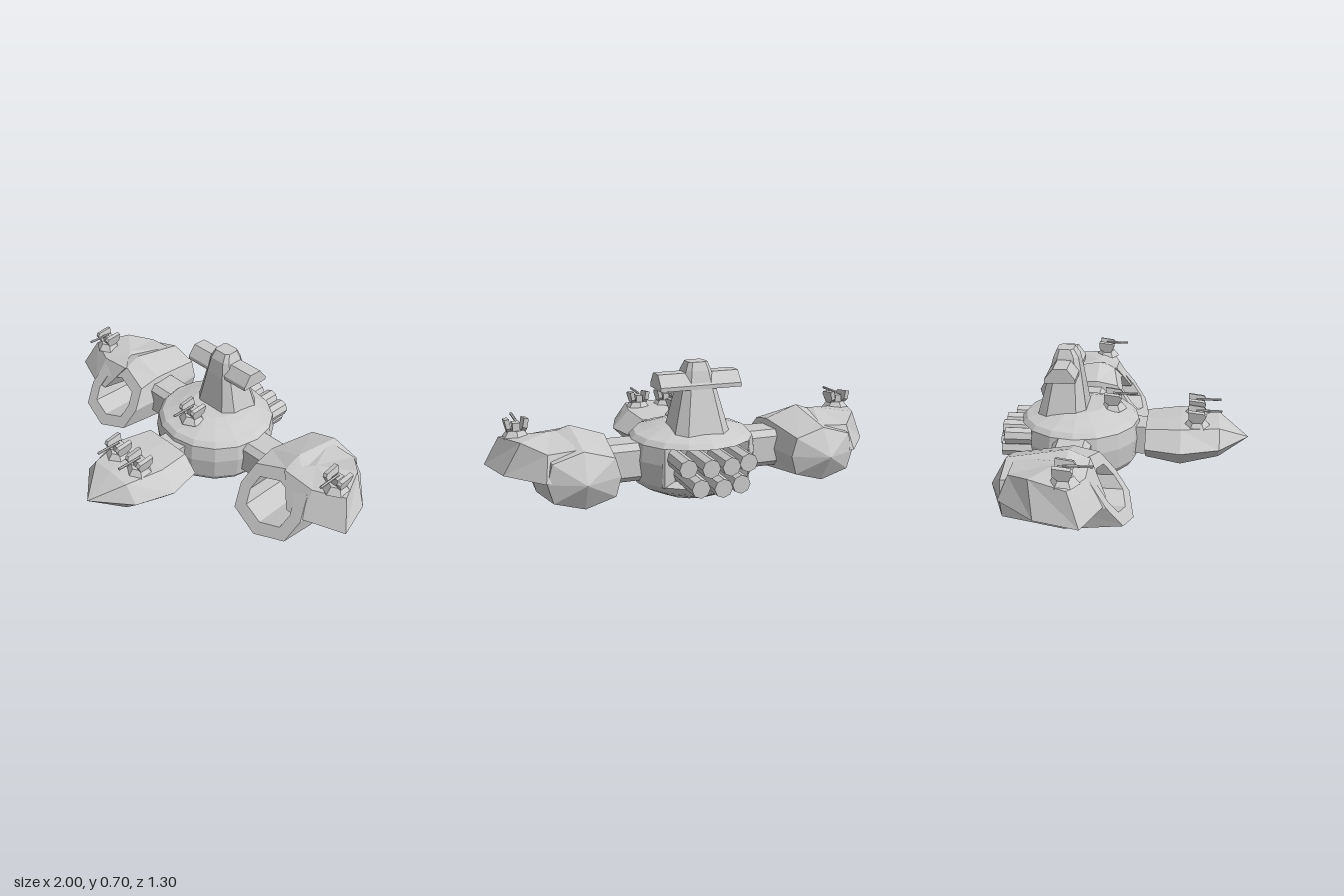
import * as THREE from 'three';

const mat = new THREE.MeshStandardMaterial({ color: 0xcccccc, flatShading: true });
const V = (x, y, z) => new THREE.Vector3(x, y, z);

function add(parent, name, geometry, x = 0, y = 0, z = 0) {
  const mesh = new THREE.Mesh(geometry, mat);
  mesh.name = name;
  mesh.position.set(x, y, z);
  parent.add(mesh);
  return mesh;
}

// Closed skin through rings of equal length; ends fan to a cap point; always faces outward
function loft(rings, startCap, endCap) {
  const mid = (r) => r.reduce((a, p) => a.add(p), V(0, 0, 0)).divideScalar(r.length);
  const n = rings[0].length;
  const last = rings[rings.length - 1];
  const a = startCap || mid(rings[0]), b = endCap || mid(last);
  const tris = [];
  for (let i = 0; i < n; i++) {
    const j = (i + 1) % n;
    tris.push([a, rings[0][j], rings[0][i]], [b, last[i], last[j]]);
    for (let k = 0; k < rings.length - 1; k++) {
      const r = rings[k], s = rings[k + 1];
      tris.push([r[i], r[j], s[j]], [r[i], s[j], s[i]]);
    }
  }
  const volume = tris.reduce((v, [p, q, r]) => v + p.dot(q.clone().cross(r)), 0);
  if (volume < 0) tris.forEach((t) => t.reverse());
  const g = new THREE.BufferGeometry().setFromPoints(tris.flat());
  g.computeVertexNormals();
  return g;
}

// Rectangle with cut corners, as [u, v] pairs
function cutRect(u0, u1, v0, v1, c) {
  return [[u0 + c, v0], [u1 - c, v0], [u1, v0 + c], [u1, v1 - c],
    [u1 - c, v1], [u0 + c, v1], [u0, v1 - c], [u0, v0 + c]];
}

function lathe(points, segments, start = 0, length = Math.PI * 2) {
  return new THREE.LatheGeometry(points.map((p) => new THREE.Vector2(...p)), segments, start, length);
}

// Profile given as [z, y], extruded along x and centred
function sideExtrude(profile, width) {
  const shape = new THREE.Shape(profile.map(([z, y]) => new THREE.Vector2(-z, y)));
  const g = new THREE.ExtrudeGeometry(shape, { depth: width, bevelEnabled: false });
  return g.translate(0, 0, -width / 2).rotateY(Math.PI / 2);
}

function turret(parent, x, y, z) {
  const t = new THREE.Group();
  t.name = 'turret';
  t.position.set(x, y, z);
  add(t, 'turretBase', new THREE.CylinderGeometry(0.042, 0.07, 0.035, 6), 0, 0.015, 0);
  add(t, 'turretMount', new THREE.BoxGeometry(0.035, 0.04, 0.05), 0, 0.05, -0.005);
  const cheek = [[-0.045, 0.05], [-0.02, 0.03], [0.025, 0.03], [0.045, 0.07], [0.035, 0.085], [-0.045, 0.095]];
  for (const s of [-1, 1]) {
    add(t, 'turretCheek', sideExtrude(cheek, 0.022), s * 0.027, 0, 0).rotation.z = -s * 0.2;
  }
  const gun = new THREE.CylinderGeometry(0.007, 0.007, 0.13, 6).rotateX(Math.PI / 2);
  add(t, 'gunBarrel', gun, 0, 0.08, 0.06);
  parent.add(t);
}

// Side pod with a hollow slanted intake and an overhanging wing; s is the side
function nacelle(parent, s) {
  const g = new THREE.Group();
  g.name = s > 0 ? 'leftNacelle' : 'rightNacelle';
  const oct = [[0, 1], [0.85, 0.68], [1, 0], [0.85, -0.68], [0, -1], [-0.85, -0.68], [-1, 0], [-0.85, 0.68]];
  const ring = (hw, hh, z) => oct.map(([u, v]) => {
    const y = 0.225 + v * hh;
    return V(s * (0.605 + u * hw), y, typeof z === 'function' ? z(y) : z);
  });
  const slant = (y) => 0.15 - 0.7 * y;
  add(g, 'nacelleBody', loft([
    ring(0.17, 0.135, -0.49), ring(0.2, 0.187, -0.2), ring(0.195, 0.15, slant),
    ring(0.13, 0.095, slant), ring(0.125, 0.09, -0.24),
  ], V(s * 0.61, 0.225, -0.565), V(s * 0.605, 0.225, -0.28)));

  const low = [[0.7, -0.02], [0.79, -0.02], [1, -0.1], [0.94, -0.31], [0.78, -0.5], [0.61, -0.49]];
  const high = [[0.605, 0.375, -0.1], [0.78, 0.36, -0.1], [0.935, 0.375, -0.16],
    [0.86, 0.385, -0.34], [0.76, 0.35, -0.45], [0.605, 0.36, -0.45]];
  add(g, 'nacelleWing', loft([
    low.map(([x, z]) => V(s * x, 0.23, z)),
    high.map(([x, y, z]) => V(s * x, y, z)),
  ], null, V(s * 0.7, 0.395, -0.22)));
  turret(g, s * 0.855, 0.375, -0.18);

  const section = cutRect(0.13, 0.32, -0.33, -0.14, 0.03);
  add(g, 'strut', loft([0.25, 0.46].map((x) => section.map(([y, z]) => V(s * x, y, z)))));
  parent.add(g);
}

export function createModel() {
  const model = new THREE.Group();
  model.name = 'spaceship';

  // Central hull: belly, shoulder and a band left open at the back
  const hull = new THREE.Group();
  hull.name = 'hull';
  hull.position.z = -0.23;
  model.add(hull);
  add(hull, 'belly', lathe([[0, 0], [0.16, 0.035], [0.245, 0.075], [0.28, 0.095], [0.305, 0.13], [0, 0.13]], 16));
  add(hull, 'shoulder', lathe([[0, 0.32], [0.308, 0.32], [0.285, 0.345], [0.25, 0.355], [0.19, 0.375], [0.13, 0.39], [0, 0.39]], 16));
  add(hull, 'hullBand', lathe([[0.305, 0.13], [0.318, 0.24], [0.308, 0.32]], 12, Math.PI * 1.25, Math.PI * 1.5));
  add(hull, 'engineRecess', lathe([[0.2, 0.13], [0.2, 0.32]], 16));
  for (const s of [-1, 1]) {
    const wall = add(hull, 'recessWall', new THREE.BoxGeometry(0.015, 0.19, 0.11),
      s * 0.255 * Math.SQRT1_2, 0.225, -0.255 * Math.SQRT1_2);
    wall.rotation.y = -s * Math.PI / 4;
  }

  // Two rows of engines
  const engines = [[0.15, 0.26, -0.6], [0.05, 0.26, -0.63], [-0.05, 0.26, -0.63], [-0.15, 0.26, -0.6],
    [0.1, 0.17, -0.63], [0, 0.17, -0.655], [-0.1, 0.17, -0.63]];
  for (const [x, y, end] of engines) {
    const length = end + 0.36;
    const tube = new THREE.CylinderGeometry(0.045, 0.045, -length, 8).rotateX(Math.PI / 2);
    add(model, 'engine', tube, x, y, end - length / 2);
  }

  // Command tower with a crossbar
  const level = (y, w, z0, z1, c) => cutRect(-w, w, z0, z1, c).map(([x, z]) => V(x, y, z));
  add(model, 'tower', loft([
    level(0.36, 0.14, -0.44, -0.185, 0.05), level(0.575, 0.085, -0.38, -0.215, 0.03),
    level(0.66, 0.064, -0.358, -0.23, 0.022), level(0.7, 0.048, -0.34, -0.255, 0.015),
  ]));
  add(model, 'towerCrossbar', sideExtrude(
    [[-0.38, 0.575], [-0.225, 0.575], [-0.225, 0.595], [-0.265, 0.65], [-0.335, 0.65], [-0.38, 0.595]], 0.41));
  turret(model, 0, 0.375, -0.055);

  // Forward pod and neck
  const pod = (z, w, top, bottom) => [[1, 0.235], [0.64, top], [0, top + 0.005], [-0.64, top], [-1, 0.235],
    [-0.6, bottom + 0.02], [0, bottom], [0.6, bottom + 0.02]].map(([u, y]) => V(u * w, y, z));
  add(model, 'forwardPod', loft([
    pod(0.12, 0.21, 0.315, 0.14), pod(0.3, 0.25, 0.33, 0.117), pod(0.495, 0.185, 0.325, 0.15),
  ], null, V(0, 0.235, 0.65)));
  add(model, 'neck', new THREE.BoxGeometry(0.15, 0.15, 0.14), 0, 0.225, 0.085);
  for (const s of [-1, 1]) {
    turret(model, s * 0.08, 0.325, 0.38);
    nacelle(model, s);
  }
  return model;
}
